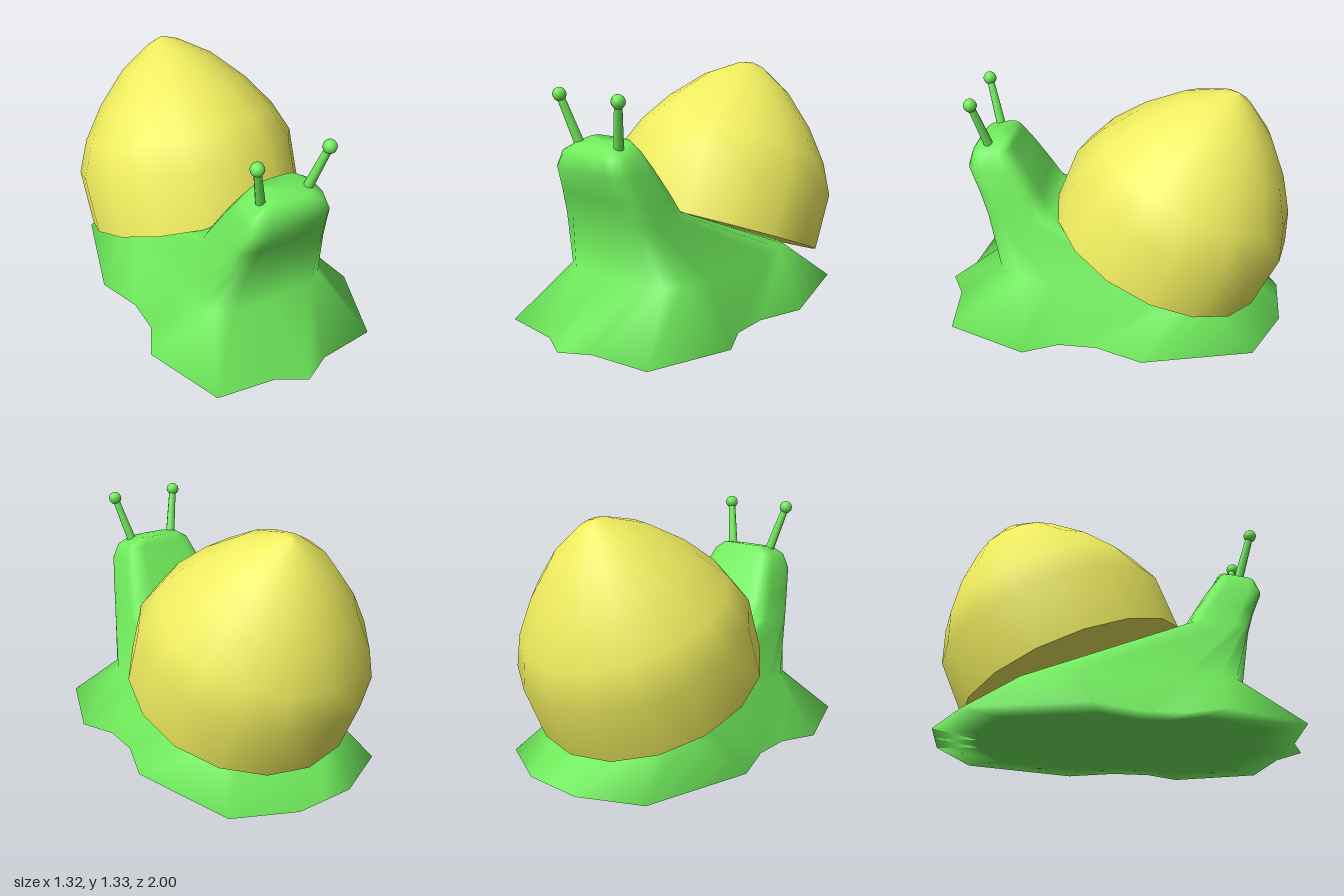
import * as THREE from 'three';

const HALF = 9; // steps from front centre to back centre

// Half outline (front to back) mirrored into a closed ring
function mirrorRing(half) {
  return [...half, ...half.slice(1, -1).reverse().map(([x, y, z]) => [-x, y, z])];
}

// Rounded-box ring that leans from front height to back height
function roundRing(w, zFront, zBack, yFront, yBack, power) {
  const half = [];
  for (let i = 0; i <= HALF; i++) {
    const t = (i / HALF) * Math.PI, c = Math.cos(t);
    const k = Math.sign(c) * Math.abs(c) ** power;
    const x = i % HALF === 0 ? 0 : w * Math.sin(t) ** power;
    half.push([x,
      THREE.MathUtils.lerp(yBack, yFront, (k + 1) / 2),
      THREE.MathUtils.lerp(zBack, zFront, (k + 1) / 2)]);
  }
  return mirrorRing(half);
}

// Closed smooth skin over a stack of rings, with a fan at each end
function loft(rings, bottom, top) {
  const n = rings[0].length, index = [];
  const pos = [...rings.flat(), bottom, top];
  const b = pos.length - 2, t = pos.length - 1, last = (rings.length - 1) * n;
  for (let i = 0; i < n; i++) {
    const j = (i + 1) % n;
    for (let r = 0; r < last; r += n) {
      index.push(r + i, r + j, r + n + j, r + i, r + n + j, r + n + i);
    }
    index.push(b, j, i, last + i, last + j, t);
  }
  const geo = new THREE.BufferGeometry();
  geo.setAttribute('position', new THREE.Float32BufferAttribute(pos.flat(), 3));
  geo.setIndex(index);
  geo.computeVertexNormals();
  return geo;
}

export function createModel() {
  const model = new THREE.Group();
  const green = new THREE.MeshStandardMaterial({ color: 0x70ec5c });
  const yellow = new THREE.MeshStandardMaterial({ color: 0xeeec5e, side: THREE.DoubleSide });
  const add = (name, geo, mat, parent = model) => {
    const mesh = new THREE.Mesh(geo, mat);
    mesh.name = name;
    parent.add(mesh);
    return mesh;
  };

  // Body: wavy foot, ramp under the shell, neck and head
  const foot = mirrorRing([
    [0, 1], [0.16, 0.91], [0.49, 0.87], [0.66, 0.42], [0.57, 0.23],
    [0.57, 0.02], [0.66, -0.24], [0.5, -0.84], [0.17, -1], [0, -1],
  ].map(([x, z]) => [x, 0, z]));
  const sole = foot.map(([x, y, z]) => [x * 0.78, y, z * 0.78]);
  add('body', loft([
    sole,
    foot,
    roundRing(0.41, 0.635, -0.64, 0.29, 0.24, 0.45),
    roundRing(0.31, 0.69, 0.31, 0.62, 0.635, 0.45),
    roundRing(0.285, 0.73, 0.38, 0.75, 0.75, 0.45),
    roundRing(0.245, 0.79, 0.465, 0.89, 0.89, 0.45),
    roundRing(0.21, 0.765, 0.54, 0.97, 0.995, 0.45),
    roundRing(0.14, 0.735, 0.555, 1.01, 1.04, 0.45),
  ], [0, 0, 0], [0, 1.03, 0.645]), green);

  // Shell: pointed dome tilted backwards, closed underneath
  const shell = new THREE.Group();
  shell.name = 'shell';
  shell.position.set(0, 0.38, -0.275);
  shell.rotation.x = -Math.atan2(0.5, 1.19);
  model.add(shell);
  const profile = [
    [0.645, 0], [0.65, 0.325], [0.572, 0.506], [0.44, 0.695],
    [0.265, 0.877], [0.088, 0.993], [0, 1.024],
  ].map(([r, h]) => new THREE.Vector2(r, h));
  add('shellDome', new THREE.LatheGeometry(profile, 16), yellow, shell);
  add('shellUnderside', new THREE.CircleGeometry(0.645, 16).rotateX(Math.PI / 2), yellow, shell);

  // Eye stalks with round tips
  for (const [side, s] of [['left', 1], ['right', -1]]) {
    const base = new THREE.Vector3(0.135 * s, 0.99, 0.665);
    const tip = new THREE.Vector3(0.205 * s, 1.26, 0.735);
    const dir = tip.clone().sub(base);
    const stalk = add(side + 'EyeStalk', new THREE.CylinderGeometry(0.02, 0.027, dir.length(), 8), green);
    stalk.position.copy(base).add(tip).multiplyScalar(0.5);
    stalk.quaternion.setFromUnitVectors(new THREE.Vector3(0, 1, 0), dir.normalize());
    add(side + 'Eye', new THREE.SphereGeometry(0.037, 10, 8), green).position.copy(tip);
  }
  return model;
}
